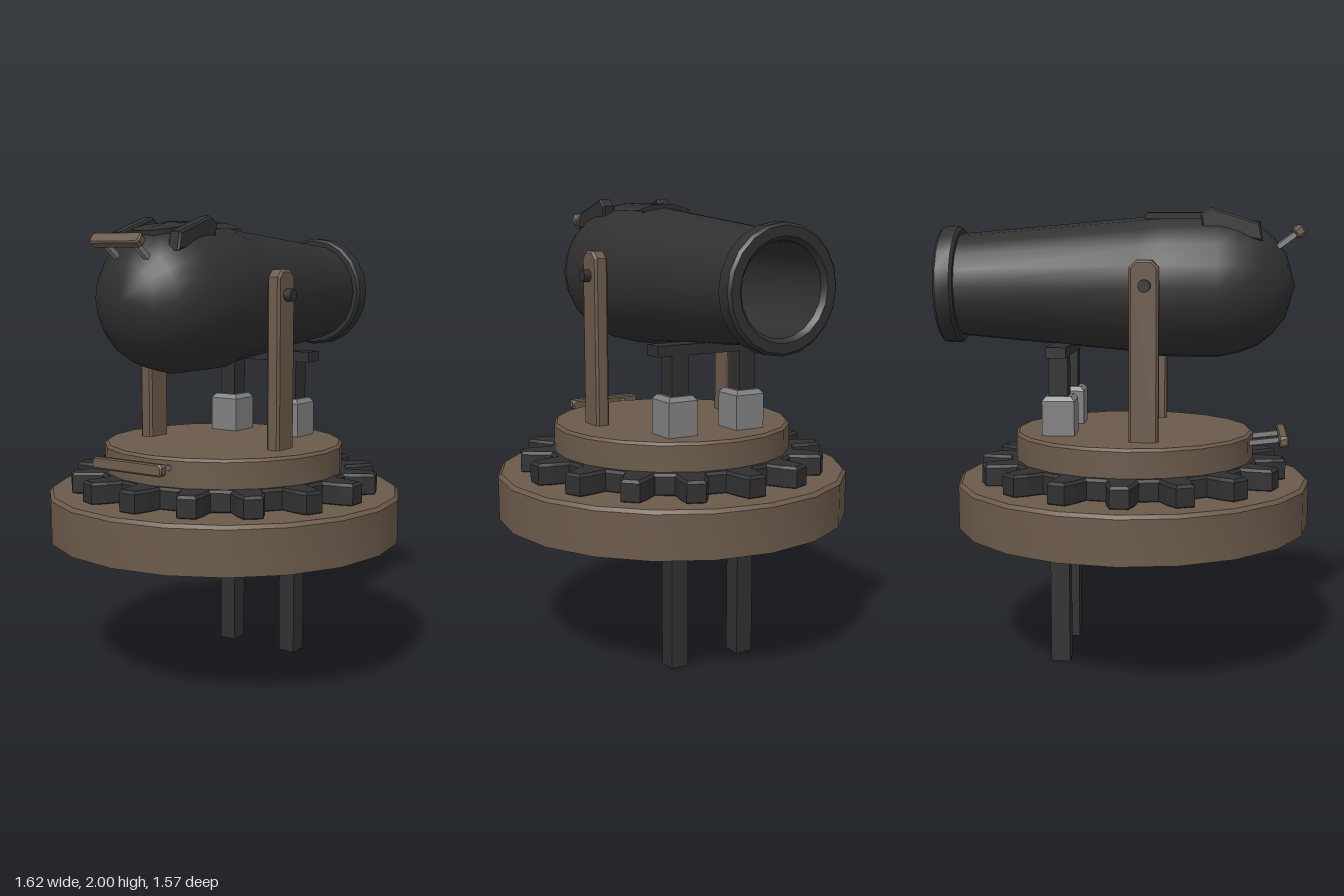
import * as THREE from 'three';
import { toCreasedNormals } from 'three/addons/utils/BufferGeometryUtils.js';

const material = (color) => new THREE.MeshStandardMaterial({ color });

export function createModel() {
  const model = new THREE.Group();
  const wood = material(0x6b5a4a);
  const iron = material(0x303030);
  const steel = material(0x808080);
  const CX = -0.03; // centre of the turntable
  const AXIS = 1.667; // height of the barrel axis

  function add(name, geometry, mat, x = 0, y = 0, z = 0, parent = model) {
    const mesh = new THREE.Mesh(geometry, mat);
    mesh.name = name;
    mesh.position.set(x, y, z);
    parent.add(mesh);
    return mesh;
  }
  const box = (w, h, d) => new THREE.BoxGeometry(w, h, d);
  const lathe = (points, crease = 0.5) => toCreasedNormals(
    new THREE.LatheGeometry(points.map(([r, y]) => new THREE.Vector2(r, y)), 20), crease);
  const plate = (points, depth, bevel) => {
    const shape = new THREE.Shape(points.map(([x, y]) => new THREE.Vector2(x, y)));
    const geometry = new THREE.ExtrudeGeometry(shape, {
      depth: depth - 2 * bevel, bevelEnabled: bevel > 0, bevelSize: bevel,
      bevelThickness: bevel, bevelOffset: -bevel, bevelSegments: 1,
    });
    return geometry.translate(0, 0, bevel - depth / 2);
  };
  // Round slab with a chamfered upper edge
  const slab = (r, y0, y1, c) => lathe([[0, y0], [r, y0], [r, y1 - c], [r - c, y1], [0, y1]]);

  // Round base and rotating platform
  add('base', slab(0.785, 0.61, 0.815, 0.015), wood, CX);
  add('platform', slab(0.53, 0.9, 1.03, 0.012), wood, CX - 0.005);

  // Gear ring with sixteen tapered teeth
  const gearPoints = [];
  for (let i = 0; i < 16; i++) {
    const a = (i * Math.PI) / 8;
    for (const [r, w] of [[0.55, -0.068], [0.62, -0.058], [0.68, -0.04],
      [0.68, 0.04], [0.62, 0.058], [0.55, 0.068]]) {
      gearPoints.push([r * Math.cos(a) - w * Math.sin(a), r * Math.sin(a) + w * Math.cos(a)]);
    }
  }
  add('gearRing', plate(gearPoints, 0.1, 0.012).rotateX(-Math.PI / 2), iron, CX, 0.857);

  // Barrel with rounded breech, muzzle ring and open bore
  const barrel = lathe([
    [0, -0.735], [0.14, -0.695], [0.21, -0.64], [0.262, -0.575], [0.295, -0.49],
    [0.3125, -0.405], [0.3125, -0.16], [0.295, -0.08], [0.224, 0.725],
    [0.245, 0.725], [0.256, 0.737], [0.256, 0.798], [0.245, 0.81],
    [0.205, 0.81], [0.188, 0.79], [0.188, -0.4], [0, -0.4],
  ], 0.6).rotateZ(-Math.PI / 2);
  add('barrel', barrel, iron, 0, AXIS);

  // Raised plate on the crown of the barrel
  const crown = [];
  for (let i = 0; i <= 8; i++) {
    const a = (i / 8 - 0.5) * 0.88;
    crown.push([-0.315 * Math.sin(a), 0.315 * Math.cos(a)]);
  }
  crown.push([0.12, 0.25], [-0.12, 0.25]);
  const crownGeometry = toCreasedNormals(plate(crown, 0.3, 0), 0.5).rotateY(Math.PI / 2);
  add('crownPlate', crownGeometry, iron, -0.24, AXIS);

  // Loading hatch between the two lugs
  const hatch = add('hatch', new THREE.CylinderGeometry(0.125, 0.125, 0.06, 8, 1)
    .rotateY(Math.PI / 8), iron, -0.465, 1.93, 0);
  hatch.rotation.z = 0.17;

  // Pull handle: two rods and a cross grip
  function handle(name, from, to, gripLength, rodZ, tilt) {
    const group = new THREE.Group();
    group.name = name;
    const dx = to[0] - from[0], dy = to[1] - from[1];
    for (const s of [-1, 1]) {
      const rod = add('handleRod', box(Math.hypot(dx, dy), 0.022, 0.022), steel,
        (from[0] + to[0]) / 2, (from[1] + to[1]) / 2, s * rodZ, group);
      rod.rotation.z = Math.atan2(dy, dx);
    }
    const h = gripLength / 2;
    const grip = add('handleGrip', plate([
      [-h, -0.013], [-h + 0.012, -0.025], [h - 0.012, -0.025], [h, -0.013],
      [h, 0.013], [h - 0.012, 0.025], [-h + 0.012, 0.025], [-h, 0.013],
    ], 0.04, 0.006).rotateY(Math.PI / 2), wood, to[0], to[1], 0, group);
    grip.rotation.z = tilt;
    model.add(group);
  }
  handle('breechHandle', [-0.63, 1.815], [-0.745, 1.9], 0.25, 0.075, -0.64);
  handle('platformHandle', [-0.53, 0.985], [-0.695, 1.005], 0.36, 0.09, -0.1);

  // Post outline with clipped top corners
  const post = [[-0.062, 1.02], [0.062, 1.02], [0.062, 1.755],
    [0.032, 1.785], [-0.032, 1.785], [-0.062, 1.755]];
  const lug = [[-0.59, 1.86], [-0.36, 1.9], [-0.335, 1.92], [-0.325, 1.97],
    [-0.37, 2.0], [-0.575, 1.935]];

  // Paired parts on both sides
  for (const s of [-1, 1]) {
    add('supportPost', plate(post, 0.062, 0.01), wood, -0.102, 0, s * 0.341);
    add('trunnionPin', new THREE.CylinderGeometry(0.027, 0.027, 0.14, 10)
      .rotateX(Math.PI / 2), iron, -0.105, 1.68, s * 0.335);
    add('breechLug', plate(lug, 0.058, 0.008), iron, 0, 0, s * 0.15);
    add('elevatingLeg', box(0.084, 1.39, 0.08), iron, 0.277, 0.695, s * 0.168);

    // Square socket with a chamfered top
    const r = 0.07 * Math.SQRT2;
    const socket = new THREE.LatheGeometry([[0, 1.02], [r, 1.02], [r, 1.18],
      [r - 0.022, 1.2], [0, 1.2]].map(([x, y]) => new THREE.Vector2(x, y)), 4);
    add('legSocket', toCreasedNormals(socket.rotateY(Math.PI / 4), 0.3), steel,
      0.275, 0, s * 0.168);
  }

  // Crossbar carrying the barrel
  add('crossbar', box(0.086, 0.046, 0.55), iron, 0.277, 1.392, 0);
  return model;
}
